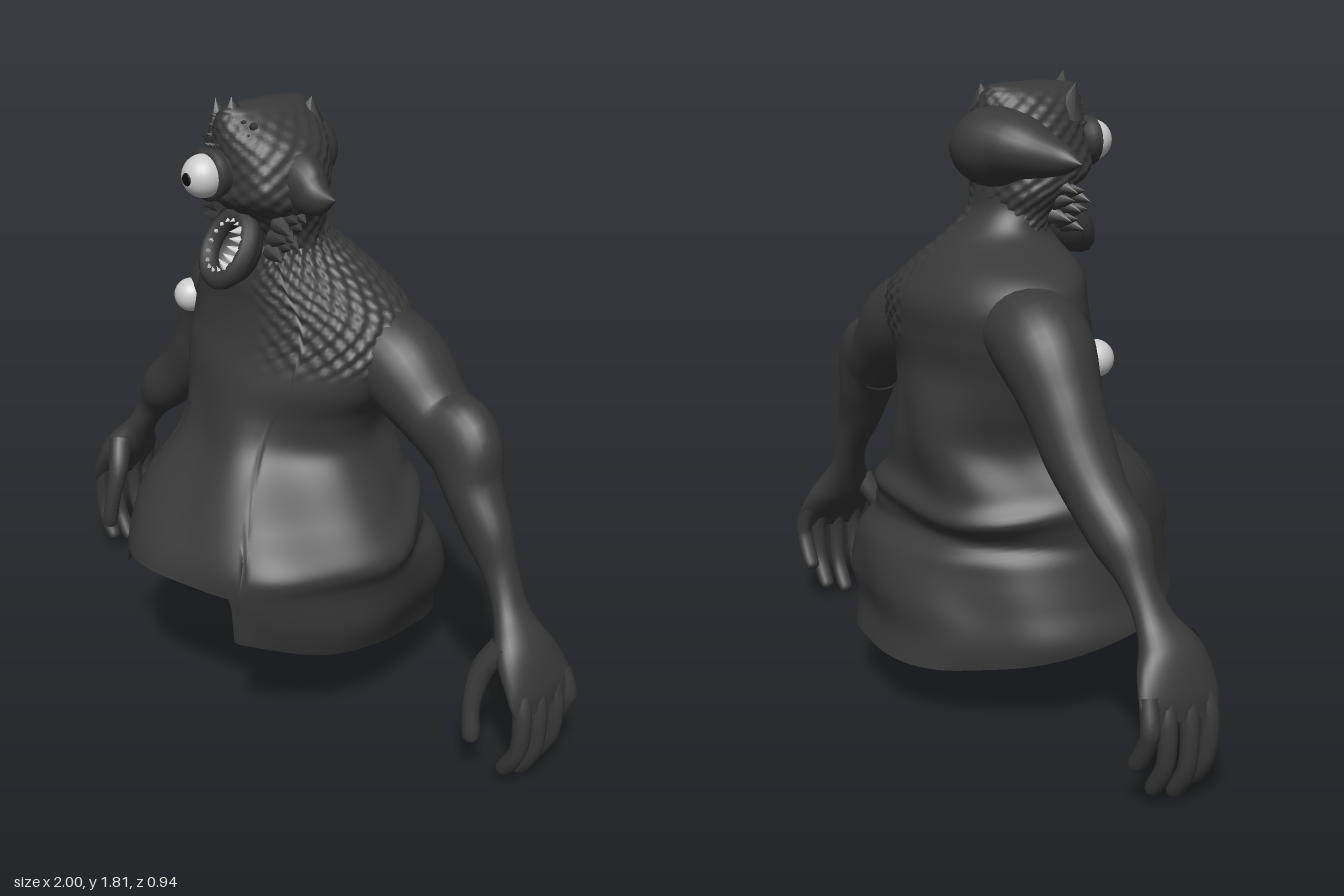
import * as THREE from 'three';

const skin = new THREE.MeshStandardMaterial({ color: 0x383838, side: THREE.DoubleSide });
const pale = new THREE.MeshStandardMaterial({ color: 0xcccccc });
const black = new THREE.MeshStandardMaterial({ color: 0x0c0c0c });
const V = (x, y, z) => new THREE.Vector3(x, y, z);
const smooth = THREE.MathUtils.smoothstep;
const bell = (v, centre, width) => Math.exp(-(((v - centre) / width) ** 2));

function add(parent, name, geometry, material = skin) {
  const mesh = new THREE.Mesh(geometry, material);
  mesh.name = name;
  parent.add(mesh);
  return mesh;
}

// Skin a list of closed rings, each a list of points
function loft(rings) {
  const n = rings[0].length, index = [];
  for (let i = 0; i < rings.length - 1; i++) {
    for (let j = 0; j < n; j++) {
      const a = i * n + j, b = i * n + (j + 1) % n;
      index.push(a, b, b + n, a, b + n, a + n);
    }
  }
  const g = new THREE.BufferGeometry().setFromPoints(rings.flat());
  g.setIndex(index);
  g.computeVertexNormals();
  return g;
}

// Upright body from rows of [y, xMin, xMax, zFront, zBack]
function body(rows, rowCount, cols, bottom, bump) {
  const curve = new THREE.CubicInterpolant(rows.map(r => r[0]), rows.flatMap(r => r.slice(1)), 4);
  const top = rows[rows.length - 1][0], rings = [];
  for (let i = 0; i <= rowCount; i++) {
    const ring = [];
    for (let j = 0; j < cols; j++) {
      const a = j / cols * Math.PI * 2, s = Math.sin(a), c = Math.cos(a);
      const y = THREE.MathUtils.lerp(bottom(a), top, i / rowCount);
      const [x0, x1, zf, zb] = curve.evaluate(y);
      const d = bump(a, y);
      ring.push(V((x0 + x1) / 2 + s * ((x1 - x0) / 2 + d), y, (zf + zb) / 2 + c * ((zf - zb) / 2 + d)));
    }
    rings.push(ring);
  }
  return loft(rings);
}

// Tapered limb through points [x, y, z, radius, radiusAlongZ]
function limb(points, steps = 24, sides = 16) {
  const path = new THREE.CatmullRomCurve3(points.map(p => V(p[0], p[1], p[2])));
  const radii = new THREE.CubicInterpolant(points.map((p, i) => i), points.flatMap(p => [p[3], p[4] ?? p[3]]), 2);
  const rings = [];
  for (let i = 0; i <= steps; i++) {
    const t = i / steps, p = path.getPoint(t), dir = path.getTangent(t);
    const w = V(0, 0, 1).addScaledVector(dir, -dir.z).normalize();
    const u = w.clone().cross(dir);
    const [ru, rw] = radii.evaluate(t * (points.length - 1));
    const ring = [];
    for (let j = 0; j < sides; j++) {
      const a = j / sides * Math.PI * 2;
      ring.push(p.clone().addScaledVector(u, Math.cos(a) * ru).addScaledVector(w, Math.sin(a) * rw));
    }
    rings.push(ring);
  }
  return loft(rings);
}

// Cone with its base at a point, aimed along a direction
function spike(parent, name, at, dir, radius, length, material = skin) {
  const d = dir.clone().normalize();
  const m = add(parent, name, new THREE.ConeGeometry(radius, length, 7), material);
  m.position.copy(at).addScaledVector(d, length / 2);
  m.quaternion.setFromUnitVectors(V(0, 1, 0), d);
}

function makeTorso(parent) {
  // Ragged hem: raised over the belly, low at the back
  const hem = a => {
    const t = Math.abs(a > Math.PI ? a - Math.PI * 2 : a), edge = a > Math.PI ? 0.72 : 0.56;
    const low = THREE.MathUtils.lerp(0.33, 0.17, smooth(t, 0.4, 2.7)) - 0.015 * bell(t, 1.2, 0.3);
    return THREE.MathUtils.lerp(0.48, low, smooth(t, edge, edge + 0.05));
  };
  // Cloth folds, a roll across the lower back, a flared back corner and shoulder scales
  const folds = (a, y) => {
    const back = smooth(-Math.cos(a), -0.1, 0.7);
    const scaly = smooth(y, 1.03, 1.12) * smooth(Math.sin(a), 0.1, 0.4);
    return 0.012 * Math.sin(6 * a + 7 * y) * (1 - smooth(y, 0.75, 1.1)) * smooth(y, 0.3, 0.5)
      + 0.03 * back * bell(y, 0.61 + 0.02 * Math.sin(3 * a), 0.035)
      - 0.02 * back * bell(y, 0.52, 0.03)
      + 0.055 * bell(a, 2.4, 0.3) * (1 - smooth(y, 0.42, 0.62))
      - 0.03 * bell(a, 3.9, 0.3) * (1 - smooth(y, 0.42, 0.62))
      + 0.008 * scaly * Math.sin(32 * a) * Math.sin(y * 120);
  };
  add(parent, 'torso', body([
    [0.15, -0.42, 0.40, 0.44, -0.475], [0.25, -0.46, 0.44, 0.46, -0.45],
    [0.35, -0.43, 0.475, 0.465, -0.455], [0.48, -0.41, 0.49, 0.465, -0.42],
    [0.55, -0.41, 0.51, 0.44, -0.38], [0.65, -0.395, 0.43, 0.37, -0.365],
    [0.8, -0.30, 0.29, 0.245, -0.38], [0.9, -0.33, 0.30, 0.20, -0.37],
    [1.0, -0.38, 0.36, 0.17, -0.35], [1.1, -0.40, 0.39, 0.13, -0.36],
    [1.2, -0.39, 0.36, 0.11, -0.36], [1.28, -0.33, 0.27, 0.11, -0.31],
    [1.36, -0.15, 0.17, 0.09, -0.22], [1.42, -0.12, 0.14, 0.07, -0.15],
    [1.5, -0.12, 0.14, 0.07, -0.13],
  ], 130, 208, hem, folds));
}

function makeArm(parent, side) {
  const arm = new THREE.Group();
  arm.name = side > 0 ? 'leftArm' : 'rightArm';
  parent.add(arm);
  // The two sleeves bend differently
  const path = side > 0
    ? [[0.18, 1.16, -0.15, 0.1, 0.13], [0.36, 1.06, -0.17, 0.135, 0.14], [0.5, 0.95, -0.175, 0.105, 0.11],
      [0.6, 0.9, -0.17, 0.128, 0.095], [0.66, 0.79, -0.16, 0.085, 0.085], [0.73, 0.68, -0.15, 0.075, 0.065],
      [0.785, 0.58, -0.15, 0.05, 0.052], [0.84, 0.48, -0.14, 0.043, 0.06], [0.905, 0.39, -0.13, 0.052, 0.105],
      [0.955, 0.3, -0.14, 0.033, 0.125], [0.972, 0.245, -0.145, 0.015, 0.115]]
    : [[-0.18, 1.18, -0.15, 0.1, 0.13], [-0.37, 1.11, -0.17, 0.135, 0.14], [-0.48, 0.97, -0.175, 0.11, 0.11],
      [-0.55, 0.85, -0.17, 0.095, 0.1], [-0.63, 0.74, -0.16, 0.083, 0.085], [-0.72, 0.65, -0.15, 0.08, 0.08],
      [-0.79, 0.56, -0.15, 0.048, 0.052], [-0.85, 0.47, -0.14, 0.04, 0.06], [-0.905, 0.39, -0.13, 0.052, 0.105],
      [-0.955, 0.3, -0.14, 0.033, 0.125], [-0.972, 0.245, -0.145, 0.015, 0.115]];
  add(arm, 'armAndPalm', limb(path, 60, 28));

  // Four hooked fingers and a thumb
  [[-0.055, 0.03], [-0.12, 0.005], [-0.19, 0.03], [-0.245, 0.11]].forEach(([z, tip]) => {
    add(arm, 'finger', limb([
      [side * 0.95, 0.32, z * 0.9 - 0.015, 0.026], [side * 0.972, 0.24, z, 0.027],
      [side * 0.965, tip + 0.1, z, 0.025], [side * 0.93, tip + 0.035, z, 0.025],
      [side * 0.91, tip + 0.01, z, 0.02], [side * 0.903, tip, z, 0.001],
    ], 24, 10));
  });
  add(arm, 'thumb', limb([
    [side * 0.88, 0.42, -0.07, 0.04], [side * 0.84, 0.34, -0.03, 0.034],
    [side * 0.835, 0.24, 0.0, 0.026], [side * 0.845, 0.16, 0.008, 0.026],
    [side * 0.848, 0.135, 0.008, 0.02], [side * 0.85, 0.125, 0.008, 0.001],
  ], 24, 10));
}

function makeHead(parent) {
  const head = new THREE.Group();
  head.name = 'head';
  parent.add(head);
  const scales = (a, y) => 0.004 * Math.sin(18 * a) * Math.sin(y * 140) * (1 - smooth(y, 1.74, 1.78))
    + 0.018 * (bell(a, 0.75, 0.3) + bell(a, 5.53, 0.3)) * bell(y, 1.58, 0.06);
  add(head, 'skull', body([
    [1.34, -0.13, 0.15, 0.07, -0.18], [1.42, -0.13, 0.15, 0.09, -0.13],
    [1.48, -0.16, 0.17, 0.13, -0.13], [1.53, -0.17, 0.19, 0.19, -0.13],
    [1.6, -0.15, 0.19, 0.195, -0.14], [1.68, -0.13, 0.165, 0.195, -0.14],
    [1.74, -0.1, 0.1, 0.19, -0.13], [1.77, -0.07, 0.06, 0.175, -0.11],
    [1.785, -0.035, 0.03, 0.15, -0.07], [1.79, 0, 0, 0.05, 0.05],
  ], 70, 96, () => 1.34, scales));

  // Large pointed ear swelling out behind the skull, and a shorter one
  add(head, 'rightEar', limb([
    [0.06, 1.61, -0.11, 0.02, 0.02], [0.03, 1.61, -0.12, 0.08, 0.085], [-0.05, 1.615, -0.125, 0.112, 0.127],
    [-0.14, 1.62, -0.11, 0.095, 0.11], [-0.24, 1.605, -0.085, 0.065, 0.07],
    [-0.33, 1.595, -0.065, 0.036, 0.035], [-0.385, 1.59, -0.055, 0.001],
  ], 40, 24));
  add(head, 'leftEar', limb([
    [0.06, 1.6, 0.03, 0.1, 0.09], [0.17, 1.585, 0.04, 0.085, 0.065],
    [0.24, 1.565, 0.05, 0.052, 0.04], [0.315, 1.575, 0.055, 0.001],
  ], 24, 18));

  // Crown horns, brow scales and cheek frills
  spike(head, 'crownHorn', V(-0.08, 1.69, 0.11), V(-0.25, 1, 0.1), 0.05, 0.1);
  spike(head, 'crownHorn', V(0, 1.74, 0.14), V(0, 1, 0.1), 0.045, 0.075);
  spike(head, 'crownHorn', V(0.04, 1.72, -0.09), V(0.1, 1, -0.2), 0.05, 0.065);
  for (let r = 0; r < 4; r++) {
    for (let i = -3; i <= 3; i++) {
      spike(head, 'browScale', V(i * 0.024, 1.68 + r * 0.026 - Math.abs(i) * 0.006, 0.18 - r * 0.008 - Math.abs(i) * 0.008), V(i * 0.15, 0.5, 1), 0.014, 0.026);
    }
  }
  for (const s of [-1, 1]) {
    for (let i = 0; i < 9; i++) {
      const y = 1.39 + i * 0.014;
      spike(head, 'cheekFrill', V(s * (0.1 + 0.005 * i), y, 0.09 - (i % 3) * 0.025), V(s, -0.25 + (i % 2) * 0.3, 0.3), 0.03, 0.07);
    }
  }

  // Eye on a short scaly stalk
  const stalk = add(head, 'eyeStalk', new THREE.LatheGeometry(
    [[0.075, 0], [0.06, 0.03], [0.068, 0.06], [0.074, 0.085], [0.06, 0.09]].map(p => new THREE.Vector2(...p)), 28));
  stalk.rotation.x = Math.PI / 2;
  stalk.position.set(-0.005, 1.61, 0.15);
  add(head, 'eyeball', new THREE.SphereGeometry(0.06, 28, 20), pale).position.set(-0.005, 1.61, 0.245);
  const pupil = add(head, 'pupil', new THREE.SphereGeometry(0.018, 16, 10), black);
  pupil.scale.z = 0.3;
  pupil.position.set(-0.005, 1.61, 0.303);

  // Gaping jaw facing forward and up, with a thick toothed rim
  const jaw = new THREE.Group();
  jaw.name = 'jaw';
  jaw.position.set(0.005, 1.39, 0.165);
  jaw.rotation.x = 1.05;
  head.add(jaw);
  add(jaw, 'mouthBowl', new THREE.SphereGeometry(0.1, 28, 14, 0, Math.PI * 2, Math.PI / 2, Math.PI / 2)).scale.set(0.9, 0.9, 1.1);
  const lip = add(jaw, 'lip', new THREE.TorusGeometry(0.085, 0.028, 10, 32));
  lip.rotation.x = Math.PI / 2;
  lip.scale.set(0.85, 1.08, 1.1);
  for (let i = 0; i < 16; i++) {
    const a = i / 16 * Math.PI * 2, c = Math.cos(a), s = Math.sin(a), big = c > 0.6 ? 1.7 : 1;
    spike(jaw, 'tooth', V(c * 0.06, 0.018, s * 0.08), V(-c * 0.6, 0.7, -s * 0.6), 0.009 * big, 0.022 * big, pale);
  }
}

export function createModel() {
  const model = new THREE.Group();
  model.name = 'creatureBust';
  makeTorso(model);
  makeArm(model, 1);
  makeArm(model, -1);
  makeHead(model);
  // Loose round eye on the right shoulder
  add(model, 'shoulderOrb', new THREE.SphereGeometry(0.052, 28, 20), pale).position.set(-0.445, 1.075, -0.05);
  return model;
}
